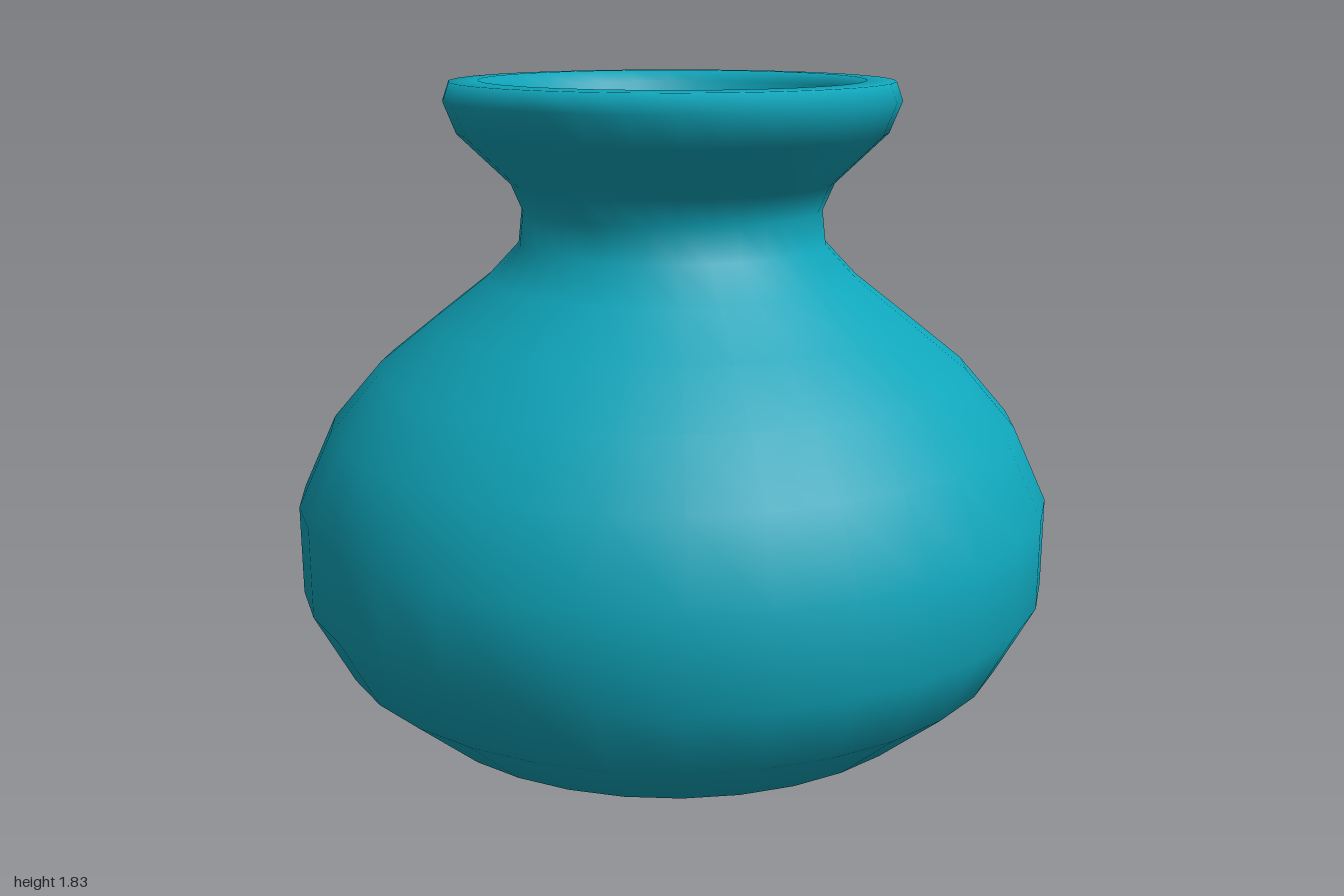
import * as THREE from 'three';

// Lathe profile: up the outside, over the rolled lip, down the inside
const outer = [
  [0, 0], [0.27, 0.005], [0.5, 0.06], [0.72, 0.165], [0.9, 0.32], [1, 0.51],
  [1, 0.745], [0.91, 0.94], [0.78, 1.09], [0.63, 1.21], [0.49, 1.32],
  [0.405, 1.41], [0.395, 1.5], [0.425, 1.57], [0.56, 1.7], [0.592, 1.78],
];
const lip = [[0.575, 1.828], [0.5, 1.83], [0.47, 1.8]];
const inner = [
  [0.462, 1.74], [0.36, 1.61], [0.33, 1.53], [0.335, 1.39], [0.44, 1.27],
  [0.58, 1.15], [0.73, 1.03], [0.85, 0.9], [0.93, 0.73], [0.93, 0.53],
  [0.84, 0.36], [0.68, 0.22], [0.48, 0.13], [0.26, 0.075], [0, 0.07],
];

export function createModel() {
  const group = new THREE.Group();
  group.name = 'vase';
  const teal = new THREE.MeshStandardMaterial({ color: 0x0fa5ba });
  teal.name = 'teal glaze';

  // Thick-walled pot in one smooth turned surface
  const profile = [...outer, ...lip, ...inner].map(([r, y]) => new THREE.Vector2(r, y));
  const pot = new THREE.Mesh(new THREE.LatheGeometry(profile, 32), teal);
  pot.name = 'pot';
  group.add(pot);
  return group;
}
